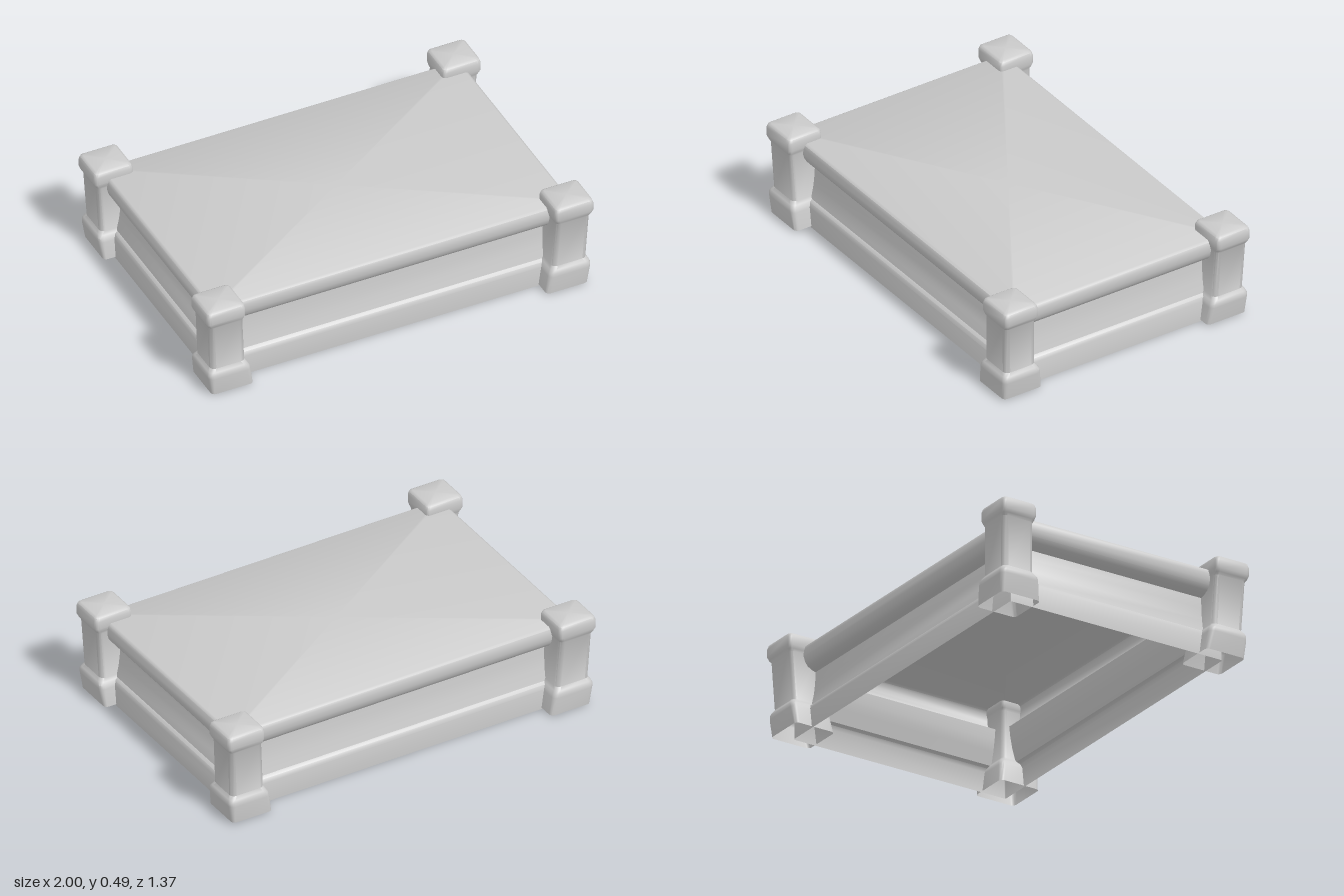
import * as THREE from 'three';
import { toCreasedNormals, mergeVertices } from 'three/addons/utils/BufferGeometryUtils.js';

const material = new THREE.MeshStandardMaterial({ color: 0xcccccc, side: THREE.DoubleSide });
const CORNER_STEPS = 4;

// Outline of a rounded rectangle at height y
function ring([y, x0, x1, z0, z1, r]) {
  const points = [];
  const corners = [[x1 - r, z1 - r], [x0 + r, z1 - r], [x0 + r, z0 + r], [x1 - r, z0 + r]];
  corners.forEach(([cx, cz], c) => {
    for (let i = 0; i <= CORNER_STEPS; i++) {
      const a = (c + i / CORNER_STEPS) * Math.PI / 2;
      points.push([cx + r * Math.cos(a), y, cz + r * Math.sin(a)]);
    }
  });
  return points;
}

// Skin through rounded rectangles from bottom to top: open below, closed above
function loft(sections) {
  const rings = sections.map(ring);
  const n = rings[0].length;
  const positions = rings.flat(2);
  const index = [];
  for (let s = 0; s < rings.length - 1; s++) {
    for (let i = 0; i < n; i++) {
      const a = s * n + i, b = s * n + (i + 1) % n;
      index.push(a, a + n, b, b, a + n, b + n);
    }
  }
  const [y, x0, x1, z0, z1] = sections[sections.length - 1];
  const centre = rings.length * n, last = centre - n;
  positions.push((x0 + x1) / 2, y, (z0 + z1) / 2);
  for (let i = 0; i < n; i++) index.push(last + i, centre, last + (i + 1) % n);
  const geometry = new THREE.BufferGeometry();
  geometry.setAttribute('position', new THREE.Float32BufferAttribute(positions, 3));
  geometry.setIndex(index);
  return toCreasedNormals(mergeVertices(geometry), 0.7);
}

function addPart(group, name, sections) {
  const mesh = new THREE.Mesh(loft(sections), material);
  mesh.name = name;
  group.add(mesh);
}

export function createModel() {
  const group = new THREE.Group();
  group.name = 'lowPlatform';

  // Body: base band, flared recess and rounded top slab; [height, half width, half depth]
  const body = [
    [0, 0.912, 0.59], [0.105, 0.912, 0.59], [0.125, 0.905, 0.583], [0.135, 0.89, 0.568],
    [0.2, 0.876, 0.552], [0.26, 0.868, 0.543], [0.315, 0.864, 0.539],
    [0.322, 0.89, 0.56], [0.335, 0.915, 0.582], [0.355, 0.929, 0.595], [0.38, 0.935, 0.602],
    [0.415, 0.935, 0.602], [0.432, 0.93, 0.597], [0.44, 0.918, 0.585],
  ];
  addPart(group, 'body', body.map(([y, w, d]) => [y, -w, w, -d, d, 0.01]));

  // Corner post: [height, inner x, outer x, inner z, outer z, corner radius]
  const post = [
    [0.008, 0.757, 0.972, 0.462, 0.677, 0.02],
    [0.1, 0.77, 0.987, 0.474, 0.684, 0.025],
    [0.118, 0.775, 0.988, 0.478, 0.683, 0.025],
    [0.132, 0.784, 0.982, 0.488, 0.677, 0.025],
    [0.147, 0.793, 0.971, 0.497, 0.666, 0.025],
    [0.395, 0.808, 0.984, 0.505, 0.676, 0.025],
    [0.407, 0.804, 0.992, 0.502, 0.682, 0.022],
    [0.425, 0.8, 1, 0.498, 0.687, 0.02],
    [0.465, 0.8, 1, 0.498, 0.687, 0.02],
    [0.482, 0.805, 0.995, 0.503, 0.682, 0.02],
    [0.49, 0.817, 0.983, 0.515, 0.67, 0.015],
  ];
  for (const sx of [-1, 1]) {
    for (const sz of [-1, 1]) {
      const name = (sz > 0 ? 'front' : 'back') + (sx > 0 ? 'Left' : 'Right') + 'Post';
      addPart(group, name, post.map(([y, xi, xo, zi, zo, r]) => [
        y,
        sx > 0 ? xi : -xo, sx > 0 ? xo : -xi,
        sz > 0 ? zi : -zo, sz > 0 ? zo : -zi,
        r,
      ]));
    }
  }
  return group;
}
